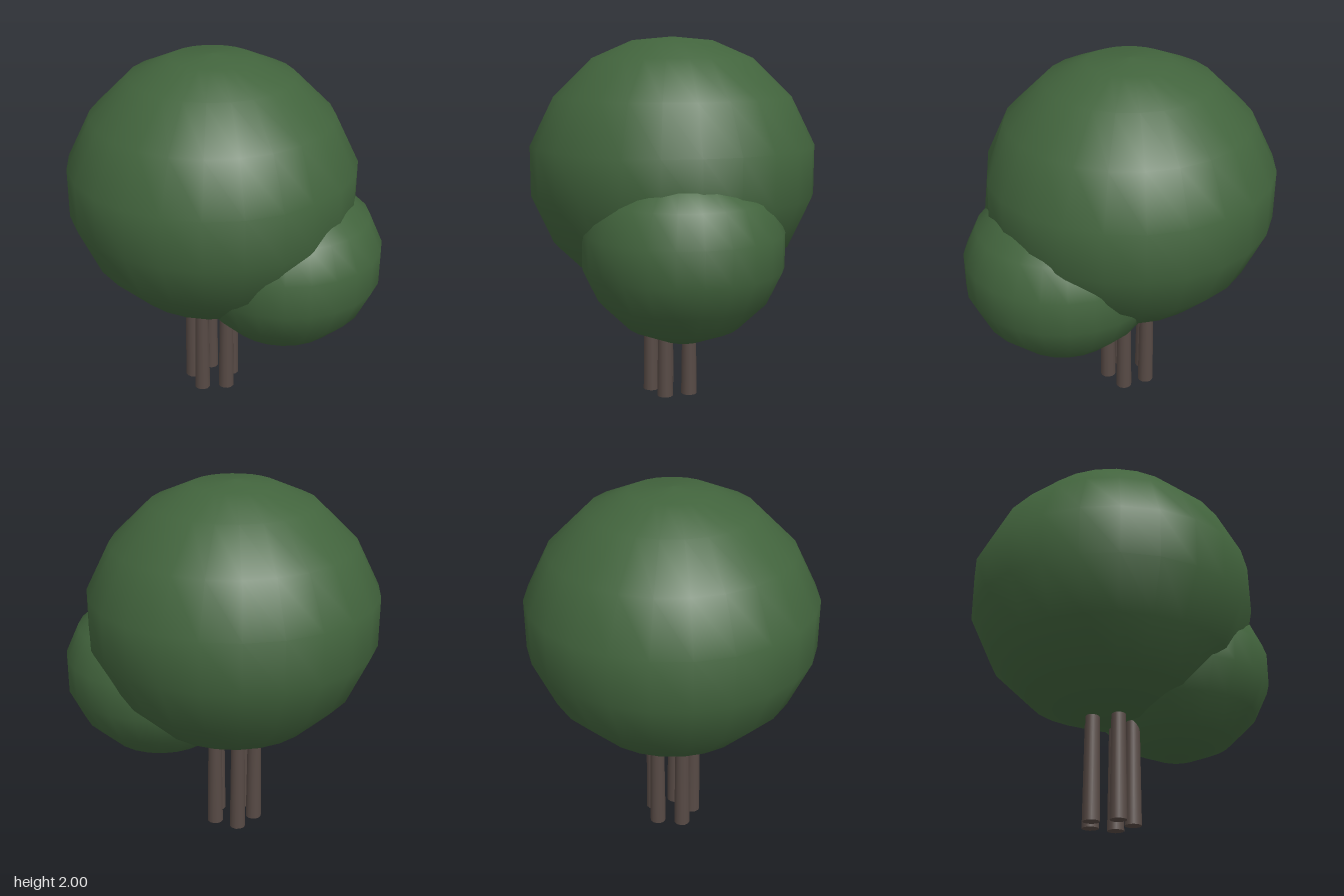
import * as THREE from 'three';

const leaf = new THREE.MeshStandardMaterial({ color: 0x42643d });
leaf.name = 'leafGreen';
const bark = new THREE.MeshStandardMaterial({ color: 0x574a45 });
bark.name = 'barkBrown';

// Smooth rounded clump turned from a [radius, y] profile, bottom to top
function foliage(name, profile, x, z) {
  const points = profile.map(([r, y]) => new THREE.Vector2(r, y));
  const mesh = new THREE.Mesh(new THREE.LatheGeometry(points, 24), leaf);
  mesh.name = name;
  mesh.position.set(x, 0, z);
  return mesh;
}

// Pull vertices lying beyond a plane back onto it
function trim(geometry, normal, distance) {
  const pos = geometry.attributes.position;
  const v = new THREE.Vector3();
  for (let i = 0; i < pos.count; i++) {
    v.fromBufferAttribute(pos, i);
    const over = v.dot(normal) - distance;
    if (over > 0) v.addScaledVector(normal, -over);
    pos.setXYZ(i, v.x, v.y, v.z);
  }
}

export function createModel() {
  const tree = new THREE.Group();
  tree.name = 'tree';

  // Large crown, slightly flattened on its upper left shoulder
  const large = foliage('largeFoliage', [
    [0, 0.555], [0.17, 0.565], [0.45, 0.68], [0.66, 0.885], [0.78, 1.15],
    [0.78, 1.42], [0.65, 1.68], [0.44, 1.885], [0.22, 1.98], [0, 2],
  ], -0.06, 0);
  const slope = new THREE.Vector3(0.944, 0.33, 0);
  trim(large.geometry, slope, 0.75 + slope.y * 1.28);
  tree.add(large);

  // Smaller clump low on the left at the back
  tree.add(foliage('smallFoliage', [
    [0, 0.432], [0.12, 0.437], [0.3, 0.513], [0.445, 0.655], [0.525, 0.825],
    [0.525, 1.01], [0.45, 1.175], [0.3, 1.305], [0.12, 1.38], [0, 1.39],
  ], 0.315, -0.19));

  // Ring of five slightly tapered stems
  const trunks = new THREE.Group();
  trunks.name = 'trunks';
  const height = 0.66;
  const stem = new THREE.CylinderGeometry(0.037, 0.045, height, 12);
  for (let i = 0; i < 5; i++) {
    const a = (i / 5) * Math.PI * 2;
    const trunk = new THREE.Mesh(stem, bark);
    trunk.name = 'trunk' + (i + 1);
    trunk.position.set(-0.063 + 0.12 * Math.cos(a), height / 2, 0.12 * Math.sin(a));
    trunks.add(trunk);
  }
  tree.add(trunks);
  return tree;
}
